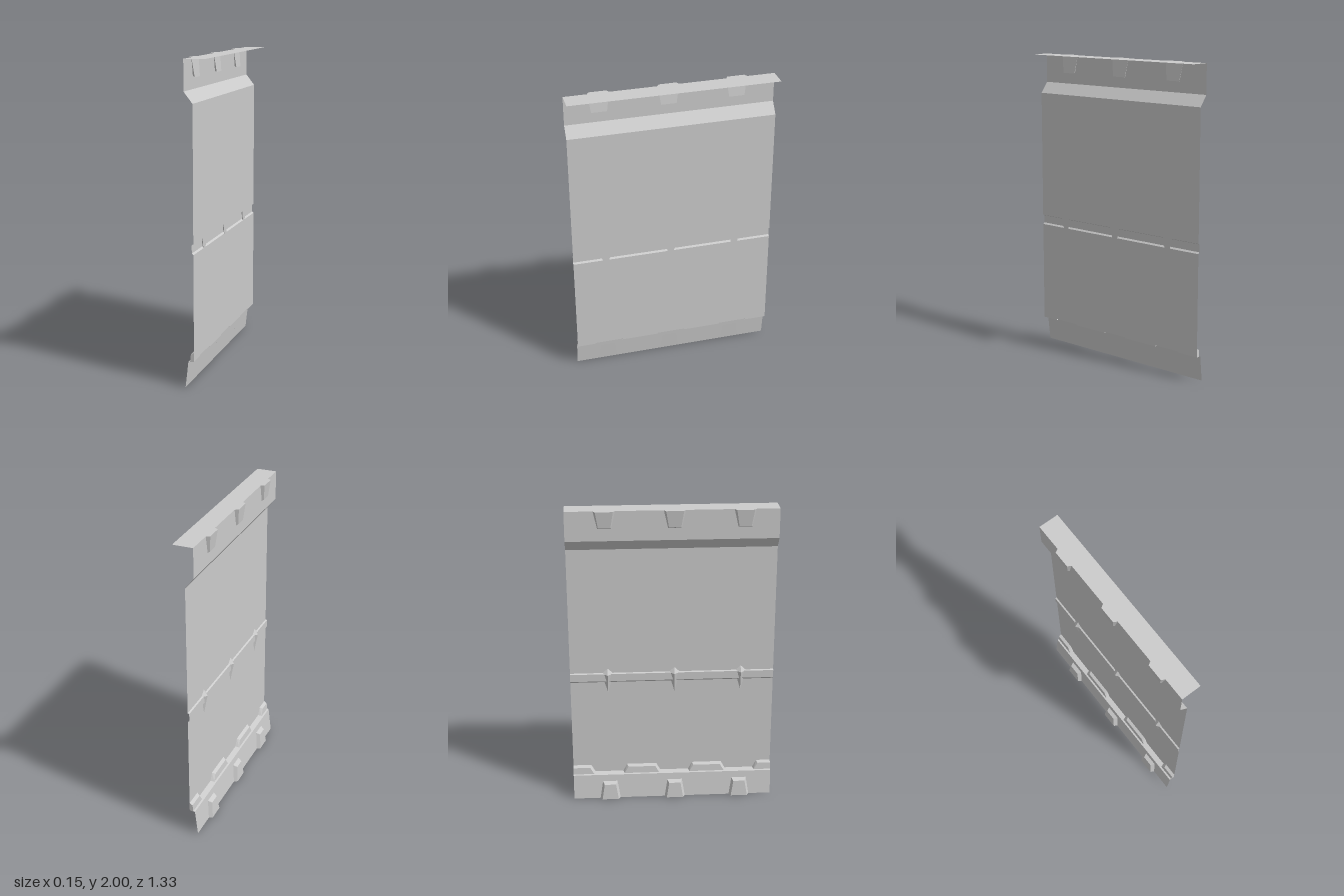
import * as THREE from 'three';
import { ConvexGeometry } from 'three/addons/geometries/ConvexGeometry.js';

const HALF = 0.665; // half the panel length along z
const CENTRES = [0.45, 0.015, -0.42];
const material = new THREE.MeshStandardMaterial({ color: 0xcccccc, flatShading: true, side: THREE.DoubleSide });

const clampZ = (z) => THREE.MathUtils.clamp(z, -HALF, HALF);

// Sheet swept along z from an [x, y] profile, one flat strip per segment
function sheet(profile) {
  const pos = [];
  for (let i = 0; i < profile.length - 1; i++) {
    const [x0, y0] = profile[i];
    const [x1, y1] = profile[i + 1];
    pos.push(x0, y0, HALF, x1, y1, HALF, x1, y1, -HALF);
    pos.push(x0, y0, HALF, x1, y1, -HALF, x0, y0, -HALF);
  }
  const g = new THREE.BufferGeometry();
  g.setAttribute('position', new THREE.Float32BufferAttribute(pos, 3));
  g.computeVertexNormals();
  return g;
}

// Convex block from mirrored corners [x, y, half width], centred at z and cut at the panel ends
function block(corners, z) {
  const pts = [];
  for (const [x, y, w] of corners) {
    pts.push(new THREE.Vector3(x, y, clampZ(z - w)));
    if (w > 0) pts.push(new THREE.Vector3(x, y, clampZ(z + w)));
  }
  return new ConvexGeometry(pts);
}

export function createModel() {
  const model = new THREE.Group();
  const add = (name, geometry) => {
    const mesh = new THREE.Mesh(geometry, material);
    mesh.name = name;
    model.add(mesh);
  };

  // Folded sheet: top lip, upper band, slope, main face with groove, step and skirt
  add('panel', sheet([
    [0.075, 2], [-0.055, 2], [-0.055, 1.81], [0, 1.74],
    [0, 0.9], [-0.01, 0.895], [-0.01, 0.845], [0, 0.835],
    [0, 0.175], [-0.036, 0.165], [-0.055, 0],
  ]));

  // Tapered tab: wide at the panel edge, narrow and leaning inwards at the tip
  const tab = [
    [-0.055, 0, 0.068], [-0.041, 0.12, 0.049],
    [-0.078, 0, 0.055], [-0.067, 0.105, 0.038],
  ];
  const upperTab = tab.map(([x, y, w]) => [x, 2 - y, w]);

  // Small pointed catch behind the groove
  const catchShape = [[0, 0.93, 0], [0, 0.895, 0.038], [0, 0.76, 0], [-0.025, 0.89, 0]];

  for (const z of CENTRES) {
    add('upperTab', block(upperTab, z));
    add('lowerTab', block(tab, z));
    add('catch', block(catchShape, z));
  }

  // Row of wider cleats above the skirt, staggered between the tabs
  const cleat = [
    [0, 0.168, 0.128], [0, 0.225, 0.098],
    [-0.025, 0.165, 0.118], [-0.02, 0.213, 0.09],
  ];
  for (let i = 0; i < 4; i++) add('cleat', block(cleat, 0.67 - i * 0.4375));

  return model;
}
